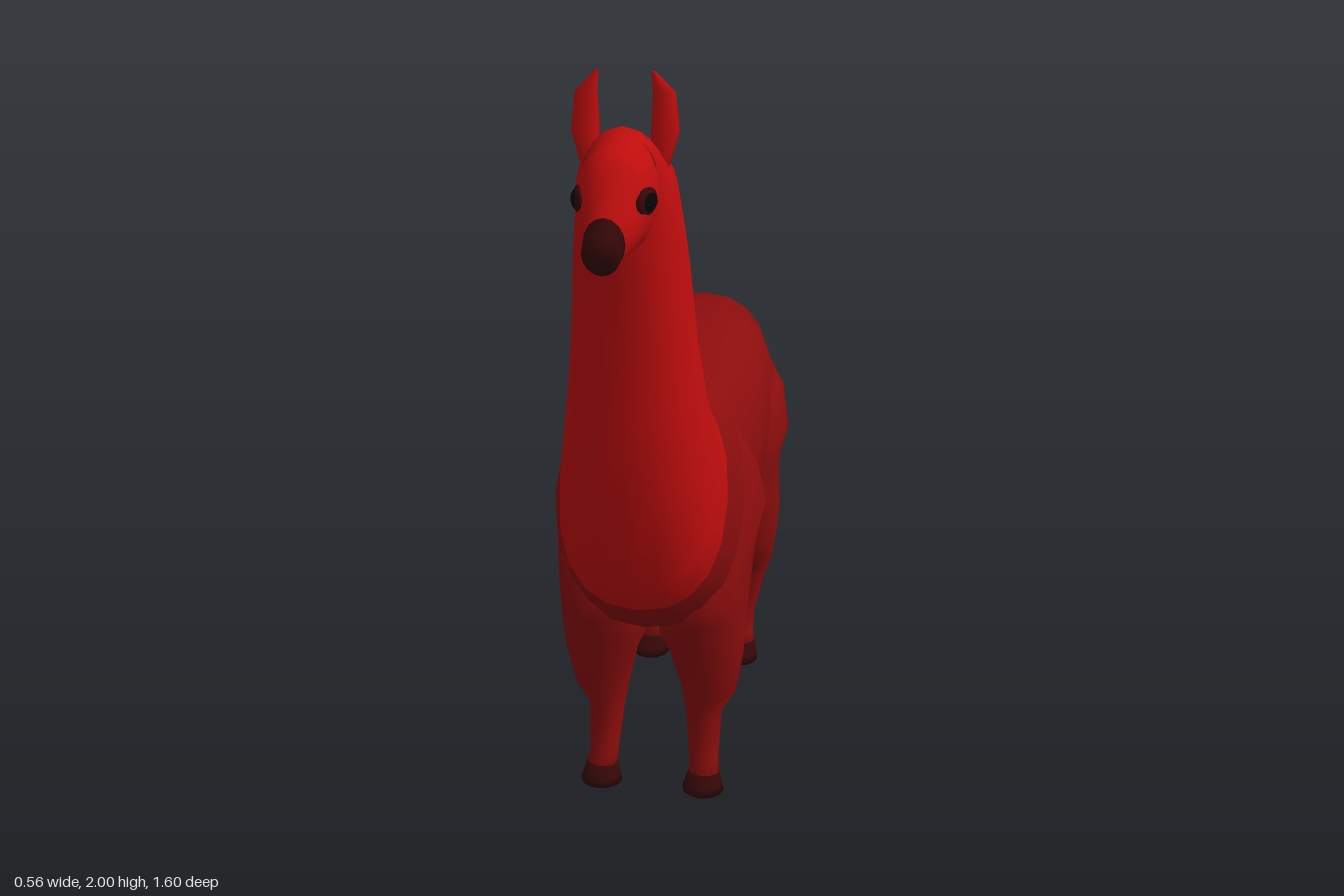
import * as THREE from 'three';

const V = (x, y, z) => new THREE.Vector3(x, y, z);
const paint = (color) => new THREE.MeshStandardMaterial({ color });
const wool = paint(0x8c0d0d), bright = paint(0xc00d0d), dark = paint(0x330707), black = paint(0x080404);

// Skin a list of rings {c, u, v}: centre and two half-axes; pow < 1 squares the outline.
function loft(rings, sides = 16, pow = 1) {
  const pos = [], idx = [];
  const bend = (t) => Math.sign(t) * Math.abs(t) ** pow;
  const add = (p) => pos.push(p.x, p.y, p.z);
  for (const { c, u, v } of rings) {
    for (let i = 0; i < sides; i++) {
      const a = (i / sides) * Math.PI * 2;
      add(c.clone().addScaledVector(u, bend(Math.cos(a))).addScaledVector(v, bend(Math.sin(a))));
    }
  }
  const last = (rings.length - 1) * sides, capA = rings.length * sides;
  add(rings[0].c);
  add(rings[rings.length - 1].c);
  for (let r = 0; r < rings.length - 1; r++) {
    for (let i = 0; i < sides; i++) {
      const j = (i + 1) % sides, a = r * sides, b = a + sides;
      idx.push(a + i, a + j, b + j, a + i, b + j, b + i);
    }
  }
  for (let i = 0; i < sides; i++) {
    const j = (i + 1) % sides;
    idx.push(capA, j, i, capA + 1, last + i, last + j);
  }
  const g = new THREE.BufferGeometry();
  g.setAttribute('position', new THREE.Float32BufferAttribute(pos, 3));
  g.setIndex(idx);
  g.computeVertexNormals();
  return g;
}

// Ring spanning a top and a bottom point of the side profile, with half width w.
const spineRing = ([tz, ty, bz, by, w]) => ({
  c: V(0, (ty + by) / 2, (tz + bz) / 2),
  u: V(w, 0, 0),
  v: V(0, (ty - by) / 2, (tz - bz) / 2),
});

// Level ring at height y spanning x0..x1 and z0..z1, on side s.
const levelRing = (s) => ([y, x0, x1, z0, z1]) => ({
  c: V((s * (x0 + x1)) / 2, y, (z0 + z1) / 2),
  u: V(0, 0, (z1 - z0) / 2),
  v: V((x1 - x0) / 2, 0, 0),
});

// top z, top y, bottom z, bottom y, half width: rump to crown
const BODY = [
  [-0.695, 1.08, -0.705, 0.78, 0.11],
  [-0.66, 1.162, -0.68, 0.67, 0.2],
  [-0.54, 1.147, -0.5, 0.64, 0.24],
  [-0.37, 1.15, -0.29, 0.61, 0.245],
  [-0.27, 1.125, -0.15, 0.6, 0.24],
  [-0.08, 1.132, 0, 0.587, 0.24],
  [-0.01, 1.15, 0.14, 0.56, 0.24],
  [0.15, 1.152, 0.32, 0.54, 0.238],
  [0.22, 1.185, 0.43, 0.645, 0.215],
  [0.25, 1.23, 0.505, 0.74, 0.2],
  [0.275, 1.3, 0.56, 0.98, 0.175],
  [0.3, 1.42, 0.57, 1.2, 0.153],
  [0.322, 1.61, 0.585, 1.42, 0.135],
  [0.36, 1.71, 0.605, 1.55, 0.125],
  [0.4, 1.81, 0.61, 1.62, 0.115],
  [0.5, 1.865, 0.61, 1.66, 0.103],
  [0.57, 1.865, 0.6, 1.7, 0.085],
];
const HEAD = [
  [0.5, 1.875, 0.5, 1.64, 0.09],
  [0.54, 1.885, 0.56, 1.63, 0.094],
  [0.645, 1.855, 0.62, 1.615, 0.088],
  [0.69, 1.815, 0.66, 1.615, 0.075],
  [0.705, 1.765, 0.7, 1.615, 0.058],
  [0.75, 1.73, 0.74, 1.615, 0.046],
];
const MUZZLE = [
  [0.75, 1.73, 0.74, 1.615, 0.046],
  [0.785, 1.705, 0.775, 1.61, 0.043],
  [0.8, 1.68, 0.795, 1.635, 0.027],
];
const TAIL = [
  [-0.62, 1.15, -0.64, 1.0, 0.05],
  [-0.69, 1.145, -0.675, 1.01, 0.07],
  [-0.76, 1.09, -0.7, 1.0, 0.078],
  [-0.8, 0.95, -0.71, 0.93, 0.08],
  [-0.735, 0.868, -0.72, 0.885, 0.04],
];
// y, inner x, outer x, back z, front z
const FRONT_LEG = [
  [0.04, 0.1, 0.187, 0.165, 0.24],
  [0.08, 0.1, 0.18, 0.152, 0.218],
  [0.22, 0.085, 0.185, 0.11, 0.208],
  [0.29, 0.072, 0.225, 0.065, 0.238],
  [0.4, 0.045, 0.243, 0.073, 0.268],
  [0.47, 0.015, 0.248, 0.066, 0.29],
  [0.54, 0.01, 0.252, 0.035, 0.315],
  [0.6, 0.01, 0.256, 0, 0.335],
  [0.71, 0.02, 0.264, -0.03, 0.31],
  [0.81, 0.05, 0.285, -0.07, 0.22],
  [0.93, 0.06, 0.258, -0.02, 0.22],
  [1.05, 0.06, 0.19, 0.04, 0.18],
];
const HIND_LEG = [
  [0.04, 0.1, 0.187, -0.602, -0.53],
  [0.08, 0.1, 0.18, -0.612, -0.545],
  [0.15, 0.095, 0.182, -0.63, -0.55],
  [0.28, 0.08, 0.215, -0.68, -0.51],
  [0.33, 0.07, 0.232, -0.703, -0.485],
  [0.39, 0.06, 0.243, -0.68, -0.42],
  [0.45, 0.045, 0.252, -0.664, -0.39],
  [0.55, 0.02, 0.262, -0.664, -0.335],
  [0.63, 0.01, 0.258, -0.675, -0.285],
  [0.71, 0.01, 0.258, -0.69, -0.27],
  [0.81, 0.04, 0.285, -0.66, -0.26],
  [0.93, 0.06, 0.262, -0.67, -0.33],
  [1.06, 0.06, 0.19, -0.64, -0.42],
];
const FRONT_HOOF = [[0, 0.085, 0.2, 0.158, 0.268], [0.02, 0.09, 0.195, 0.16, 0.26], [0.05, 0.1, 0.186, 0.163, 0.235]];
const HIND_HOOF = [[0, 0.085, 0.2, -0.6, -0.478], [0.02, 0.09, 0.195, -0.602, -0.495], [0.05, 0.1, 0.186, -0.605, -0.535]];
const EAR = [
  [1.79, 0.06, 0.1, 0.49, 0.54],
  [1.87, 0.055, 0.125, 0.483, 0.533],
  [1.955, 0.06, 0.115, 0.49, 0.525],
  [2.0, 0.058, 0.068, 0.504, 0.512],
];

export function createModel() {
  const model = new THREE.Group();
  model.name = 'llama';
  const add = (name, geometry, material) => {
    const mesh = new THREE.Mesh(geometry, material);
    mesh.name = name;
    model.add(mesh);
    return mesh;
  };

  // Torso and neck share one skin, split by colour at the shoulders
  const sides = 20, skin = loft(BODY.map(spineRing), sides, 0.85);
  const index = Array.from(skin.index.array);
  const split = 8 * sides * 6, walls = (BODY.length - 1) * sides * 6;
  const torso = skin.clone(), neck = skin.clone();
  torso.setIndex([...index.slice(0, split), ...index.slice(walls)]);
  neck.setIndex(index.slice(split, walls));
  add('torso', torso, wool);
  add('neck', neck, bright);

  // Head, muzzle and tail
  add('head', loft(HEAD.map(spineRing), 16), bright);
  add('muzzle', loft(MUZZLE.map(spineRing), 16), dark);
  const tailRings = TAIL.map(spineRing);
  tailRings.forEach((r) => r.u.negate());
  add('tail', loft(tailRings, 10), wool);

  // Paired parts
  for (const [s, side] of [[1, 'left'], [-1, 'right']]) {
    const ring = levelRing(s);
    add(side + 'FrontLeg', loft(FRONT_LEG.map(ring), 14), wool);
    add(side + 'HindLeg', loft(HIND_LEG.map(ring), 14), wool);
    add(side + 'FrontHoof', loft(FRONT_HOOF.map(ring), 12), dark);
    add(side + 'HindHoof', loft(HIND_HOOF.map(ring), 12), dark);
    add(side + 'Ear', loft(EAR.map(ring), 6), bright);

    const eyeParts = [['EyeRim', dark, 0.074, 0.014, 0.032, 0.044], ['Eye', black, 0.078, 0.015, 0.023, 0.033]];
    for (const [name, material, x, sx, sy, sz] of eyeParts) {
      const eye = add(side + name, new THREE.SphereGeometry(1, 16, 10), material);
      eye.position.set(s * x, 1.745, 0.652);
      eye.scale.set(sx, sy, sz);
      eye.rotation.y = s * -0.3;
    }
  }
  return model;
}
